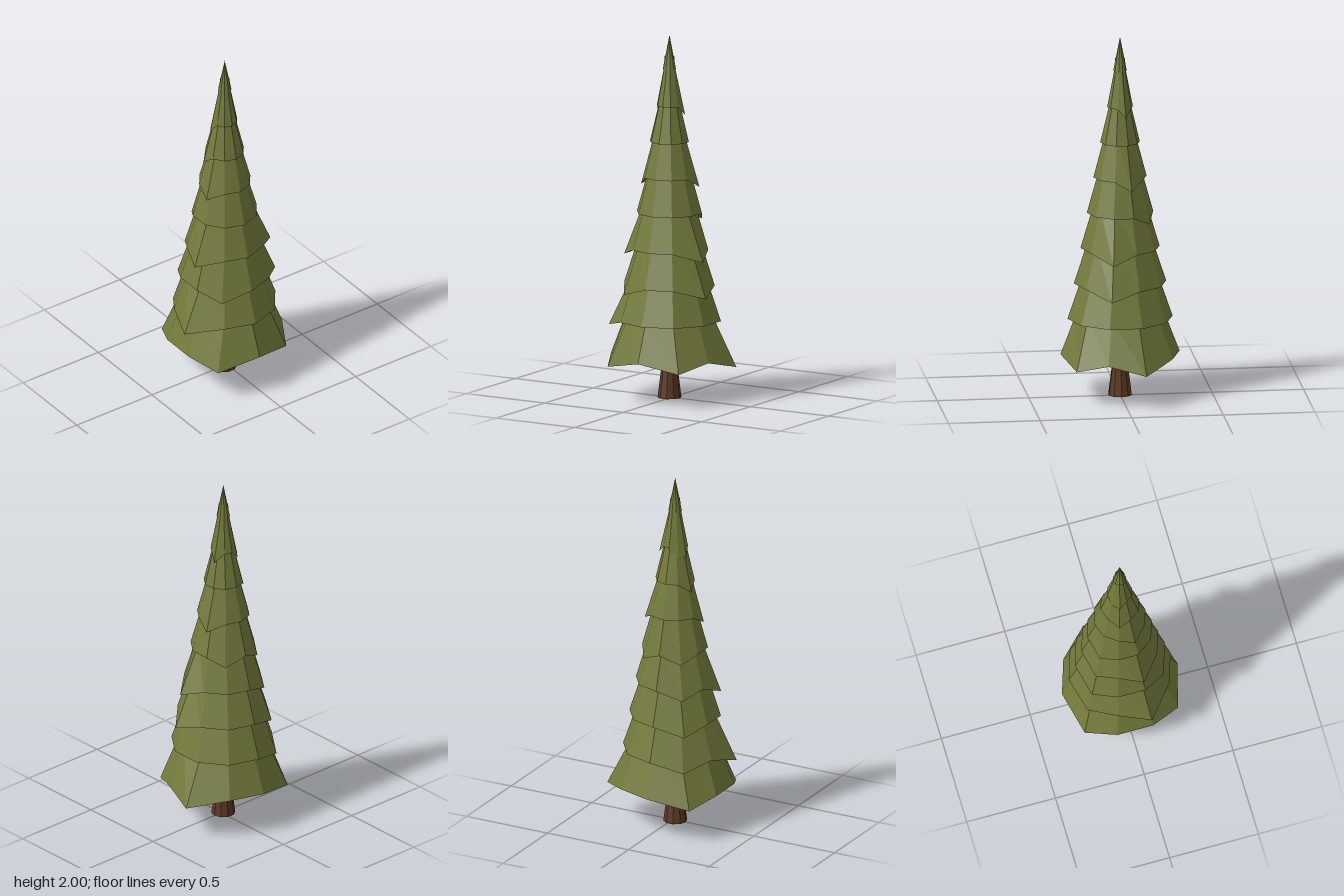
import * as THREE from 'three';

const SIDES = 10;
const AXIS_Z = 0.015;
const DROP = 0.048;

// Each tier: rim height, rim radius, and drooping corners {corner: outward z shift}
const TIERS = [
  { y: 0.235, r: 0.325, droop: { 1: 0.04, 4: 0.04, 7: -0.055, 9: -0.03 } },
  { y: 0.432, r: 0.287, droop: { 2: 0.058, 4: 0.01 } },
  { y: 0.629, r: 0.252, droop: { 1: 0.015, 4: 0.02, 8: -0.04 } },
  { y: 0.826, r: 0.216, droop: { 2: 0.042, 4: 0.015, 8: -0.05 } },
  { y: 1.022, r: 0.181, droop: { 4: 0.01, 6: -0.01 } },
  { y: 1.219, r: 0.145, droop: { 2: 0.015, 7: -0.025 } },
  { y: 1.413, r: 0.108, droop: { 3: 0.015 } },
  { y: 1.61, r: 0.07, droop: { 3: 0.015, 4: 0.01, 7: -0.02 } },
  { y: 1.81, r: 0.037, droop: {} },
];

// Hollow skirt: outer slope, thick rim, inner wall and ceiling, joined ring by ring
function skirtGeometry({ y, r, droop }, next) {
  const topY = next ? next.y + 0.04 : 2;
  const topR = next ? Math.max(0.005, next.r * 0.87 - (r - next.r * 0.87) * 0.2) : 0;
  const rings = [
    { r: topR, y: topY, sag: 0 },
    { r, y, sag: 1 },
    { r: r * 0.84, y: y + 0.012, sag: 1 },
    { r: r * 0.72, y: y + 0.07, sag: 0.4 },
    { r: 0, y: y + 0.1, sag: 0 },
  ];
  const positions = [];
  const index = [];
  rings.forEach((ring, j) => {
    for (let k = 0; k < SIDES; k++) {
      const a = (k / SIDES) * Math.PI * 2;
      const shift = droop[k] ?? 0;
      const drop = k in droop ? DROP : 0;
      positions.push(
        Math.cos(a) * ring.r,
        ring.y - drop * ring.sag,
        Math.sin(a) * ring.r + shift * ring.sag,
      );
      if (j === 0) continue;
      const n = (k + 1) % SIDES;
      const a0 = (j - 1) * SIDES + k, a1 = (j - 1) * SIDES + n;
      const b0 = j * SIDES + k, b1 = j * SIDES + n;
      if (rings[j - 1].r > 0) index.push(a0, a1, b0);
      if (ring.r > 0) index.push(a1, b1, b0);
    }
  });
  const geometry = new THREE.BufferGeometry();
  geometry.setAttribute('position', new THREE.Float32BufferAttribute(positions, 3));
  geometry.setIndex(index);
  const flat = geometry.toNonIndexed();
  flat.computeVertexNormals();
  return flat;
}

export function createModel() {
  const tree = new THREE.Group();
  tree.name = 'pineTree';
  const needles = new THREE.MeshStandardMaterial({ color: 0x747a3c, flatShading: true });
  const bark = new THREE.MeshStandardMaterial({ color: 0x5c3822, flatShading: true });

  // Tapered trunk, running up into the lowest skirt
  const trunk = new THREE.Mesh(new THREE.CylinderGeometry(0.02, 0.065, 0.36, SIDES), bark);
  trunk.name = 'trunk';
  trunk.position.set(0, 0.18, AXIS_Z);
  tree.add(trunk);

  // Stacked foliage skirts
  const foliage = new THREE.Group();
  foliage.name = 'foliage';
  foliage.position.z = AXIS_Z;
  TIERS.forEach((tier, i) => {
    const mesh = new THREE.Mesh(skirtGeometry(tier, TIERS[i + 1]), needles);
    mesh.name = `foliageTier${i + 1}`;
    foliage.add(mesh);
  });
  tree.add(foliage);
  return tree;
}
